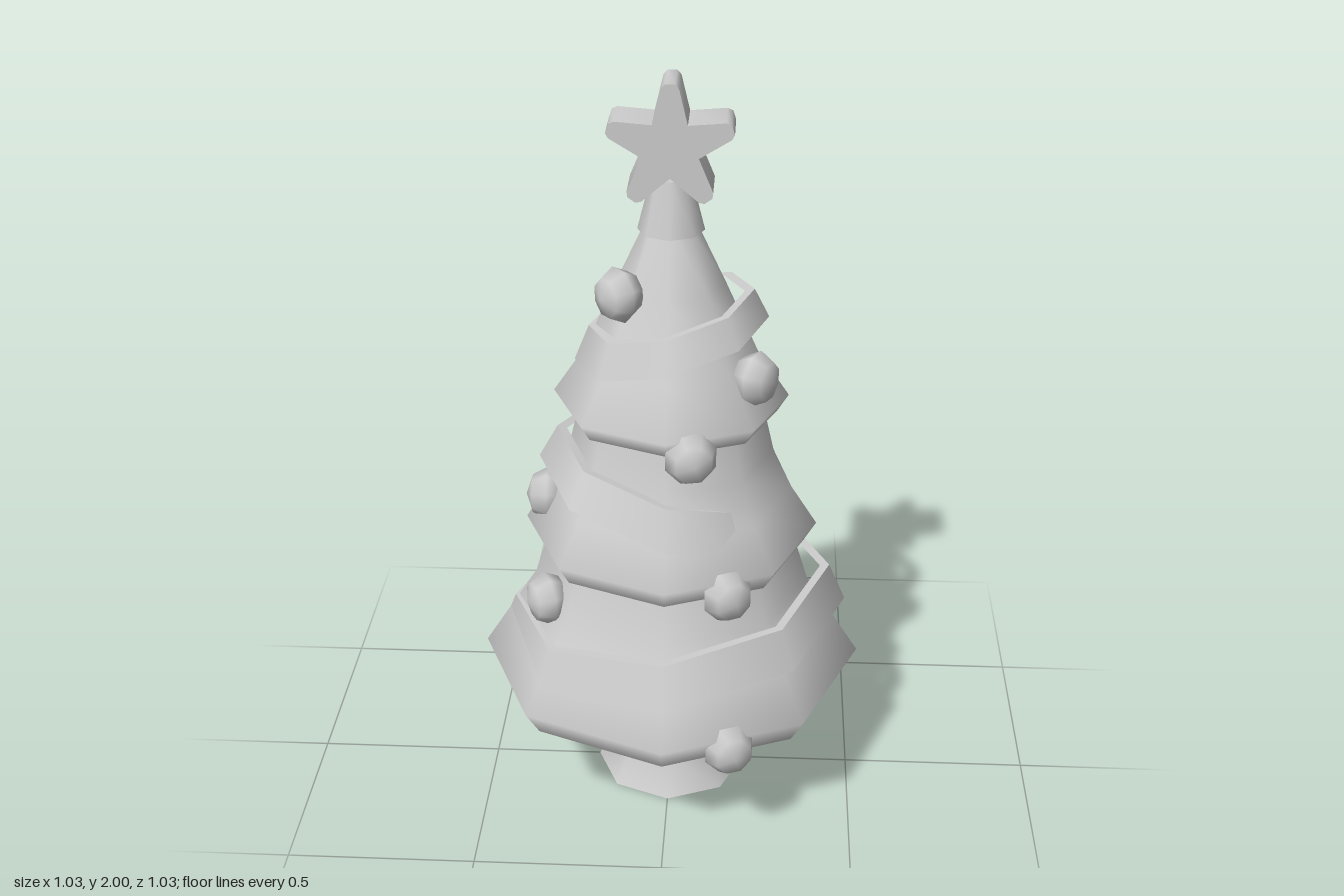
import * as THREE from 'three';
import { mergeGeometries, toCreasedNormals } from 'three/addons/utils/BufferGeometryUtils.js';

const SIDES = 8;

// Each profile is smooth in itself; edges between profiles stay sharp.
function turned(...profiles) {
  return mergeGeometries(profiles.map((points) =>
    new THREE.LatheGeometry(points.map(([r, y]) => new THREE.Vector2(r, y)), SIDES)));
}

// Tilted band with thin lips along its lower and upper edge, open on the inside.
function ribbon(lowR, lowY, highR, highY, slope) {
  const lip = 0.025;
  const geometry = turned(
    [[lowR - lip, lowY], [lowR, lowY]],
    [[lowR, lowY], [highR, highY]],
    [[highR, highY], [highR - lip, highY]]
  );
  const shear = new THREE.Matrix4().set(
    1, 0, 0, 0,
    slope, 1, 0, 0,
    0, 0, 1, 0,
    0, 0, 0, 1);
  return geometry.applyMatrix4(shear);
}

// Five-pointed star with blunted tips.
function starGeometry() {
  const depth = 0.125, points = [];
  const at = (radius, angle, offset = 0) => new THREE.Vector2(
    radius * Math.cos(angle) - offset * Math.sin(angle),
    radius * Math.sin(angle) + offset * Math.cos(angle));
  for (let i = 0; i < 5; i++) {
    const a = Math.PI / 2 + i * Math.PI * 0.4;
    points.push(at(0.15, a, -0.022), at(0.161, a, -0.012), at(0.161, a, 0.012), at(0.15, a, 0.022));
    points.push(at(0.074, a + Math.PI / 5));
  }
  const geometry = new THREE.ExtrudeGeometry(new THREE.Shape(points), { depth, bevelEnabled: false });
  geometry.translate(0, 0, -depth / 2);
  return toCreasedNormals(geometry, 0.85);
}

export function createModel() {
  const model = new THREE.Group();
  model.name = 'decoratedTree';
  const clay = new THREE.MeshStandardMaterial({ color: 0xcccccc });
  clay.name = 'light grey';

  function add(name, geometry) {
    const mesh = new THREE.Mesh(geometry, clay);
    mesh.name = name;
    model.add(mesh);
    return mesh;
  }

  // Trunk with flared foot
  add('trunk', turned([[0, 0], [0.205, 0]], [[0.205, 0], [0.147, 0.1], [0.11, 0.32]]));

  // Three foliage tiers, each with a flat underside
  add('lowerFoliage', turned(
    [[0, 0.31], [0.472, 0.31]],
    [[0.472, 0.31], [0.515, 0.38], [0.43, 0.515], [0.37, 0.61], [0.33, 0.74]]));
  add('middleFoliage', turned(
    [[0, 0.725], [0.357, 0.725]],
    [[0.357, 0.725], [0.39, 0.78], [0.32, 0.89], [0.27, 1.0], [0.24, 1.13]]));
  add('upperFoliage', turned(
    [[0, 1.115], [0.278, 1.115]],
    [[0.278, 1.115], [0.306, 1.16], [0.225, 1.28], [0.14, 1.47], [0.06, 1.64]]));

  // Ribbons
  add('lowerRibbon', ribbon(0.475, 0.48, 0.43, 0.59, 0.14));
  add('middleRibbon', ribbon(0.35, 0.875, 0.3, 0.977, -0.26));
  add('upperRibbon', ribbon(0.25, 1.315, 0.212, 1.4, 0.26));

  // Star and its socket
  add('starSocket', turned(
    [[0, 1.612], [0.085, 1.612]],
    [[0.085, 1.612], [0.05, 1.75]],
    [[0.05, 1.75], [0, 1.75]]));
  add('star', starGeometry()).position.y = 1.839;

  // Baubles, slightly flattened against the foliage
  const bauble = new THREE.SphereGeometry(0.07, 8, 4)
    .rotateX(Math.PI / 2).rotateZ(Math.PI / 8).scale(1, 1.04, 0.82);
  const spots = [
    [-0.125, 1.475, 0.105], [0.22, 1.26, 0.12], [0.063, 1.107, 0.27], [0.16, 0.735, 0.31],
    [0.172, 0.34, 0.425], [-0.32, 0.625, 0.17], [-0.33, 0.855, 0.01]
  ];
  spots.forEach(([x, y, z], i) => {
    const mesh = add('bauble' + (i + 1), bauble);
    mesh.position.set(x, y, z);
    mesh.rotation.y = Math.atan2(x, z);
  });

  return model;
}
